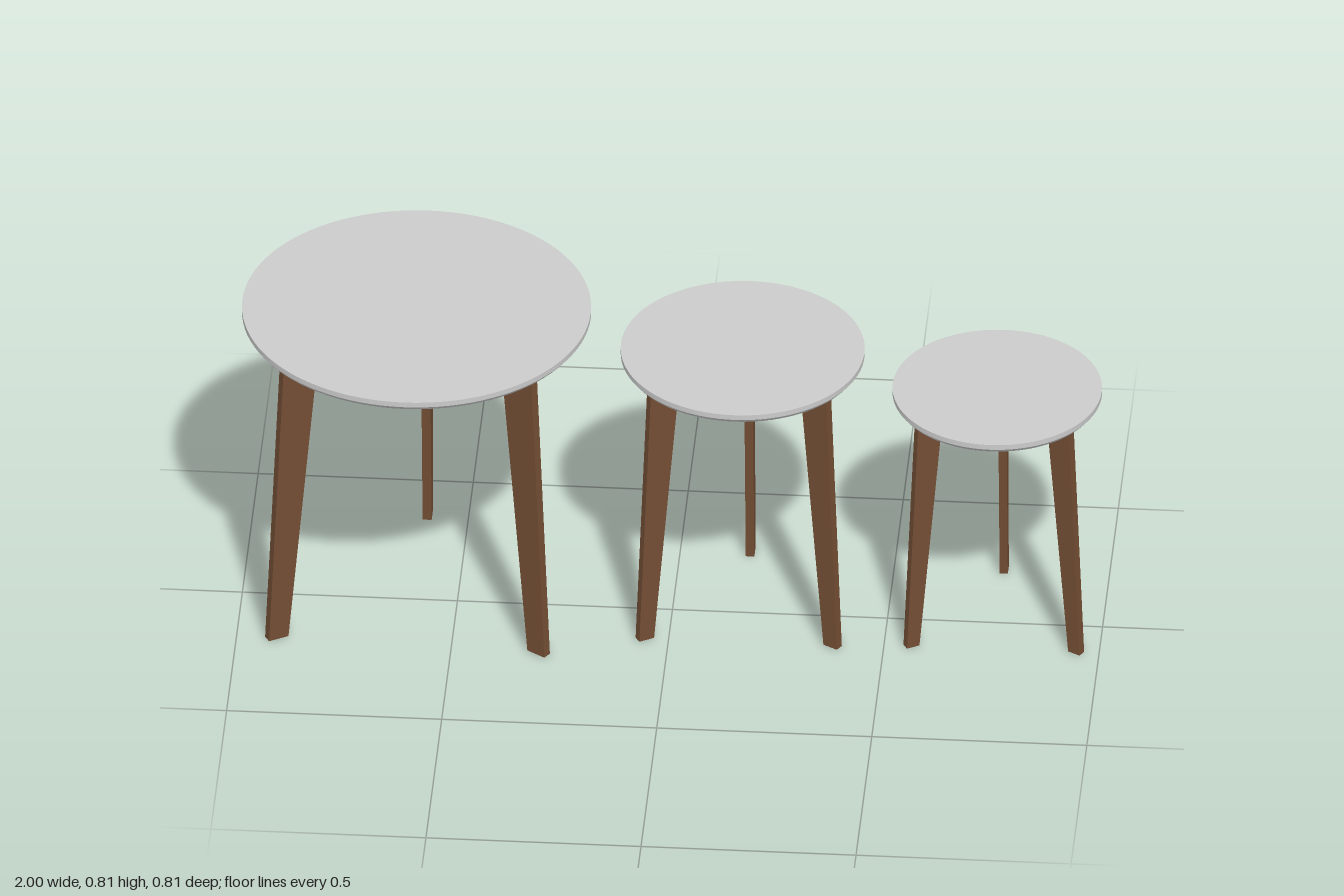
import * as THREE from 'three';
import { toCreasedNormals } from 'three/addons/utils/BufferGeometryUtils.js';

const topMaterial = new THREE.MeshStandardMaterial({ color: 0xcccccc });
const woodMaterial = new THREE.MeshStandardMaterial({ color: 0x734e34 });
const deg = THREE.MathUtils.degToRad;

// Sizes of each table; leg values are radial distances from the table centre.
const tables = [
  { name: 'largeTable', x: -0.595, z: 0, radius: 0.405, height: 0.813, legTop: [0.255, 0.345],
    legFoot: [0.335, 0.385], railStart: 0.035, railDepth: 0.055, thick: 0.021, angles: [90, 210, -34] },
  { name: 'mediumTable', x: 0.163, z: -0.003, radius: 0.283, height: 0.732, legTop: [0.166, 0.24],
    legFoot: [0.233, 0.271], railStart: 0.012, railDepth: 0.046, thick: 0.02, angles: [90, 210, -30] },
  { name: 'smallTable', x: 0.755, z: -0.002, radius: 0.243, height: 0.652, legTop: [0.144, 0.207],
    legFoot: [0.205, 0.237], railStart: 0.01, railDepth: 0.04, thick: 0.019, angles: [90, 210, -30] },
];

// Flat board cut from a radial outline, centred on its thickness
function board(name, points, thick) {
  const shape = new THREE.Shape(points.map(([r, y]) => new THREE.Vector2(r, y)));
  const geometry = new THREE.ExtrudeGeometry(shape, { depth: thick, bevelEnabled: false });
  geometry.translate(0, 0, -thick / 2);
  const mesh = new THREE.Mesh(geometry, woodMaterial);
  mesh.name = name;
  return mesh;
}

// Round top with a chamfered lower edge
function tabletop(radius, height) {
  const profile = [
    [0, height - 0.023], [radius - 0.008, height - 0.023],
    [radius, height - 0.013], [radius, height], [0, height],
  ].map(([r, y]) => new THREE.Vector2(r, y));
  const geometry = toCreasedNormals(new THREE.LatheGeometry(profile, 96), deg(25));
  const mesh = new THREE.Mesh(geometry, topMaterial);
  mesh.name = 'tabletop';
  return mesh;
}

function createTable(t) {
  const table = new THREE.Group();
  table.name = t.name;
  table.position.set(t.x, 0, t.z);
  table.add(tabletop(t.radius, t.height));

  const under = t.height - 0.023;
  const railBottom = under - t.railDepth;
  const [topIn, topOut] = t.legTop;
  const [footIn, footOut] = t.legFoot;
  // Where the leg's sloping inner edge meets the underside of the rail
  const railEnd = THREE.MathUtils.lerp(topIn, footIn, t.railDepth / under);

  // Three tapered legs, each with a rail reaching towards the centre
  for (const angle of t.angles) {
    const support = new THREE.Group();
    support.name = 'legAndRail';
    support.add(board('leg', [[footIn, 0], [footOut, 0], [topOut, under], [topIn, under]], t.thick));
    support.add(board('rail',
      [[t.railStart, railBottom], [railEnd, railBottom], [topIn, under], [t.railStart, under]], t.thick));
    support.rotation.y = deg(angle);
    table.add(support);
  }
  return table;
}

export function createModel() {
  const model = new THREE.Group();
  model.name = 'nestingTables';
  for (const t of tables) model.add(createTable(t));
  return model;
}
